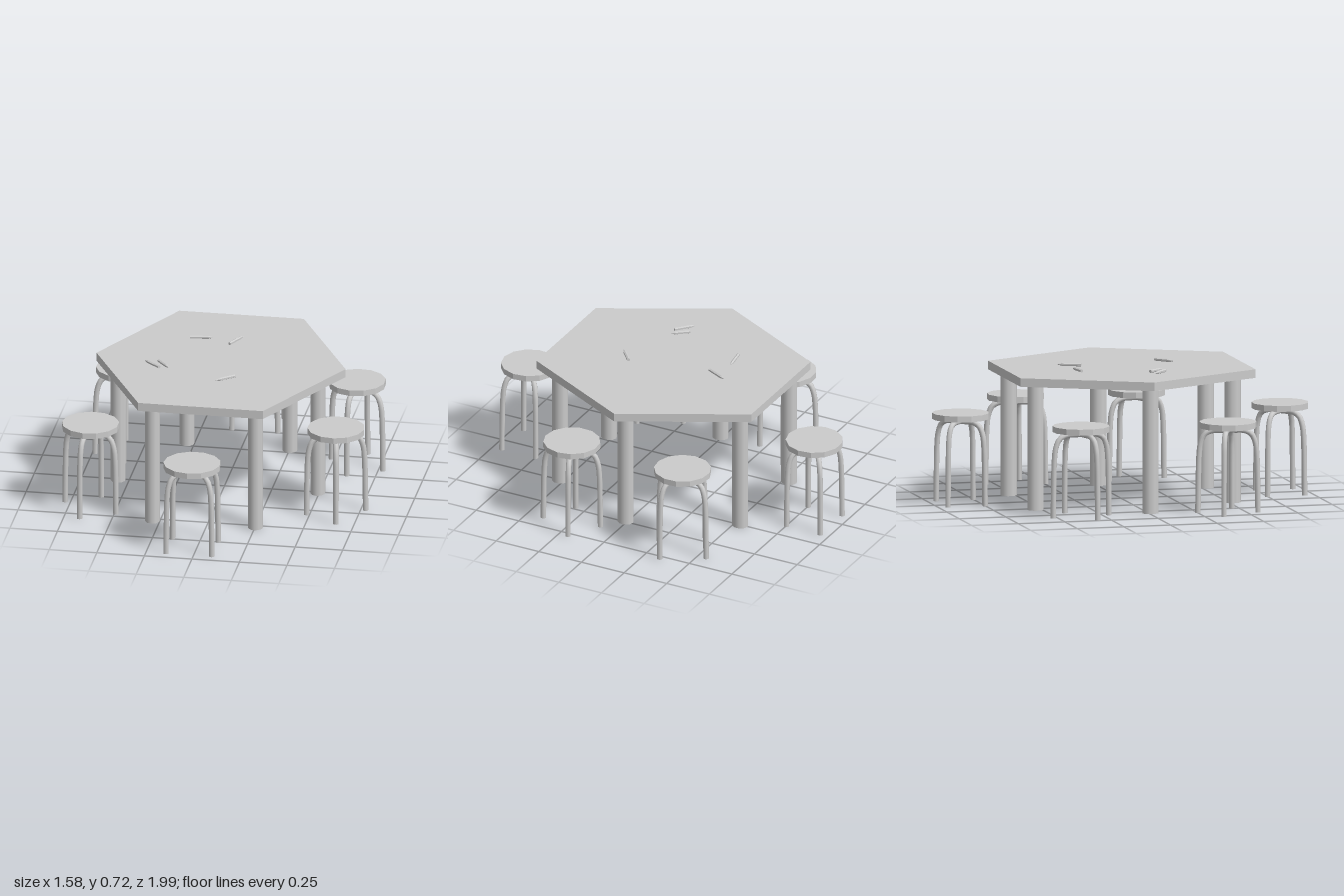
import * as THREE from 'three';

const smooth = new THREE.MeshStandardMaterial({ color: 0xcccccc });
const flat = new THREE.MeshStandardMaterial({ color: 0xcccccc, flatShading: true });

function add(parent, name, geometry, material, x = 0, y = 0, z = 0) {
  const mesh = new THREE.Mesh(geometry, material);
  mesh.name = name;
  mesh.position.set(x, y, z);
  parent.add(mesh);
  return mesh;
}

// Half of a bent stool leg: distance from the centre, height
const ARCH = [[0.156, 0], [0.154, 0.15], [0.15, 0.3], [0.142, 0.365], [0.122, 0.41], [0.085, 0.429], [0.04, 0.431]];
const LEG_R = 0.0145;

// Bent tube running from foot to foot under the seat
function makeArch(angle) {
  const arch = new THREE.Group();
  arch.name = 'stoolLegArch';
  const c = Math.cos(angle), s = Math.sin(angle);
  const half = ARCH.map(([d, y]) => new THREE.Vector3(d * c, y, d * s));
  const other = half.map((p) => new THREE.Vector3(-p.x, p.y, -p.z)).reverse();
  const curve = new THREE.CatmullRomCurve3([...half, ...other]);
  add(arch, 'bentLegs', new THREE.TubeGeometry(curve, 48, LEG_R, 8), smooth);
  for (const side of [1, -1]) {
    const foot = new THREE.CircleGeometry(LEG_R, 8).rotateX(Math.PI / 2);
    add(arch, 'footCap', foot, smooth, side * 0.156 * c, 0.0005, side * 0.156 * s);
  }
  return arch;
}

// Round seat on two crossing arches
function makeStool(x, z, axisDegrees) {
  const stool = new THREE.Group();
  stool.name = 'stool';
  stool.position.set(x, 0, z);
  const axis = THREE.MathUtils.degToRad(axisDegrees);
  const seat = new THREE.CylinderGeometry(0.149, 0.149, 0.031, 13);
  add(stool, 'seat', seat, flat, 0, 0.4605, 0).rotation.y = -axis;
  const spread = THREE.MathUtils.degToRad(39.5);
  stool.add(makeArch(axis + spread), makeArch(axis - spread));
  return stool;
}

// Six-sided pencil lying on the table, pointing from butt to tip
function makePencil(group, bx, bz, tx, tz) {
  const length = Math.hypot(tx - bx, tz - bz);
  const r = 0.0085;
  const profile = [[0, 0], [r, 0], [r, length - 0.022], [0.002, length], [0, length]]
    .map(([px, py]) => new THREE.Vector2(px, py));
  const geometry = new THREE.LatheGeometry(profile, 6).rotateX(Math.PI / 2);
  const pencil = add(group, 'pencil', geometry, flat, bx, 0.708, bz);
  pencil.rotation.y = Math.atan2(tx - bx, tz - bz);
}

export function createModel() {
  const model = new THREE.Group();

  // Hexagonal table top with corners on the left and right
  const table = new THREE.Group();
  table.name = 'table';
  model.add(table);
  const top = new THREE.CylinderGeometry(0.655, 0.655, 0.045, 6, 1, false, Math.PI / 2);
  top.scale(1, 1, 1.111);
  add(table, 'tableTop', top, flat, -0.018, 0.6775, 0);

  // One post near each corner
  const posts = [[-0.557, 0.01], [0.493, 0.01], [-0.289, 0.522], [0.253, 0.522], [-0.289, -0.535], [0.253, -0.535]];
  for (const [x, z] of posts) {
    const post = new THREE.CylinderGeometry(0.039, 0.039, 0.656, 10).scale(1, 1, 1.12);
    add(table, 'tableLeg', post, smooth, x, 0.328, z);
  }

  // Stools around the table: x, z, turn
  const stools = [
    [0.03, -0.852, 0], [0.63, -0.397, 61], [0.63, 0.252, -60],
    [-0.025, 0.847, 0], [-0.635, 0.405, 62], [-0.588, -0.37, -58],
  ];
  for (const s of stools) model.add(makeStool(...s));

  // Scattered pencils: butt x, z, tip x, z
  const pencils = [
    [-0.228, -0.27, -0.111, -0.286], [-0.011, -0.217, 0.042, -0.328],
    [-0.317, 0.153, -0.402, 0.079], [-0.333, 0.069, -0.27, 0.148],
    [0.09, 0.206, 0.003, 0.28],
  ];
  for (const p of pencils) makePencil(model, ...p);

  return model;
}
